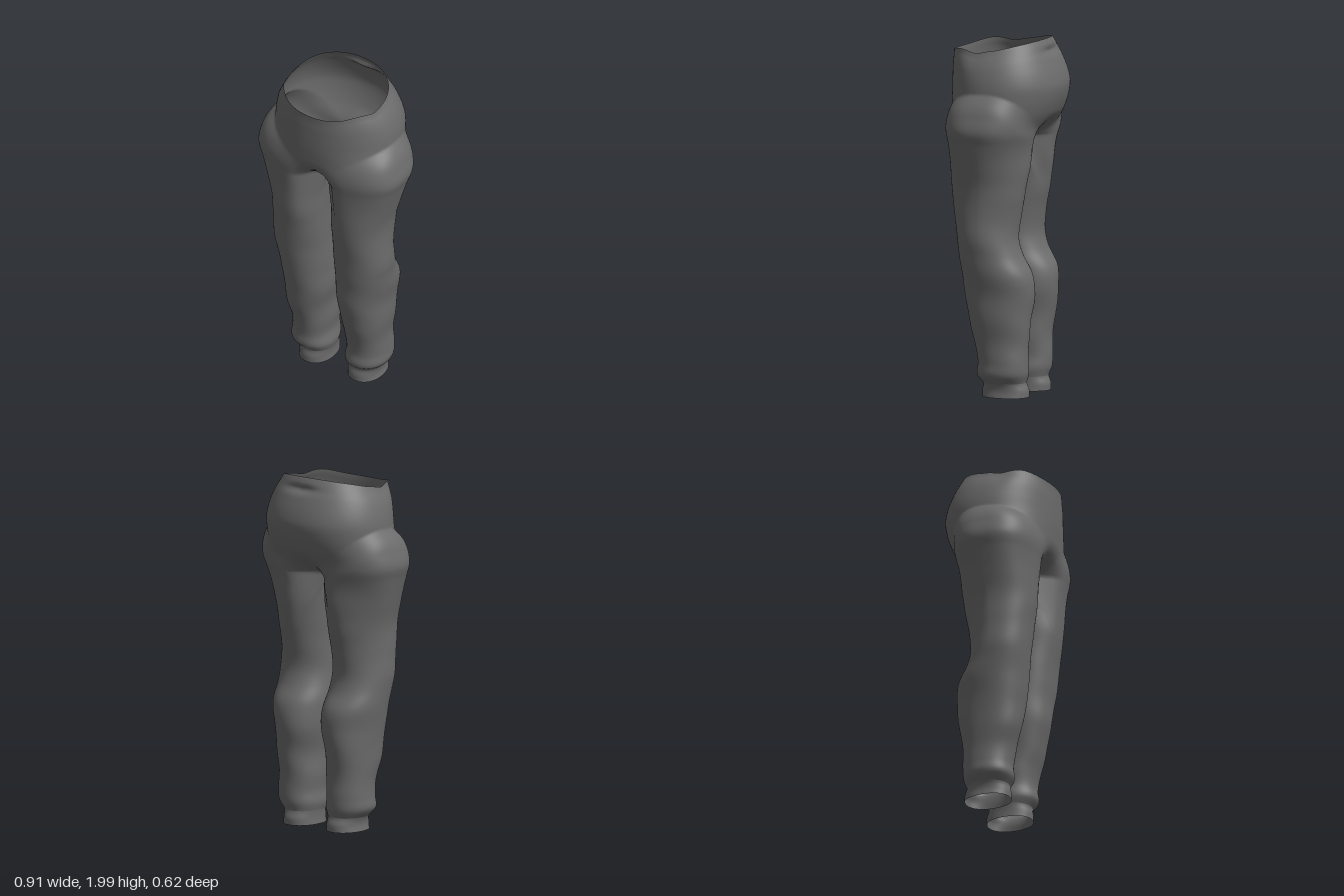
import * as THREE from 'three';
import { mergeVertices } from 'three/addons/utils/BufferGeometryUtils.js';

const { lerp, smoothstep, clamp } = THREE.MathUtils;
const CROTCH = 1.44, WAIST = 1.95, CUFF = 0.09;

// Smooth lookup through rows of [height, ...values]
function profile(rows) {
  const n = rows[0].length - 1;
  const curve = new THREE.CubicInterpolant(
    rows.map(r => r[0]), rows.flatMap(r => r.slice(1)), n, new Float32Array(n));
  return y => Array.from(curve.evaluate(y));
}

// Leg: height, inner x, outer x, front z, back z
const legProfile = profile([
  [0.01, 0.06, 0.26, 0.10, -0.165], [0.05, 0.062, 0.255, 0.10, -0.165],
  [0.09, 0.058, 0.265, 0.093, -0.15], [0.13, 0.047, 0.298, 0.12, -0.163],
  [0.20, 0.057, 0.30, 0.115, -0.167], [0.30, 0.05, 0.30, 0.13, -0.167],
  [0.42, 0.048, 0.315, 0.163, -0.178], [0.58, 0.022, 0.325, 0.193, -0.20],
  [0.70, 0.02, 0.345, 0.205, -0.19], [0.80, 0.025, 0.355, 0.217, -0.135],
  [0.88, 0.028, 0.365, 0.225, -0.112], [1.02, 0.026, 0.362, 0.243, -0.125],
  [1.18, 0.017, 0.37, 0.263, -0.16], [1.30, 0.007, 0.398, 0.276, -0.193],
  [1.43, 0.0, 0.432, 0.291, -0.207], [1.51, 0.0, 0.453, 0.301, -0.222],
  [1.60, 0.0, 0.435, 0.305, -0.24], [1.75, 0.0, 0.39, 0.308, -0.25]]);

// Pelvis: height, half width, front z, back z
const pelvisProfile = profile([
  [1.40, 0.36, 0.285, -0.20], [1.50, 0.37, 0.295, -0.222],
  [1.60, 0.372, 0.302, -0.275], [1.68, 0.37, 0.308, -0.303],
  [1.75, 0.366, 0.31, -0.312], [1.80, 0.357, 0.31, -0.30],
  [1.86, 0.338, 0.31, -0.268], [1.90, 0.318, 0.309, -0.243],
  [1.925, 0.302, 0.309, -0.23], [1.95, 0.29, 0.31, -0.217]]);

const power = (v, p) => Math.sign(v) * Math.abs(v) ** p;

// Half oval from the front centre (t = 1) round the side to the back centre (t = -1)
function halfOval(t, width, front, back, p) {
  const a = t * Math.PI / 2;
  return [width * power(Math.max(0, Math.cos(a)), p),
    (front + back) / 2 + (front - back) / 2 * power(Math.sin(a), p)];
}

// Pelvis surface, with thigh tops swelling out below an arched crease
function pelvisPoint(y, t) {
  const [pw, pf, pb] = pelvisProfile(y);
  const [, lw, lf, lb] = legProfile(Math.min(y, 1.75));
  const c = Math.max(0, Math.cos(t * Math.PI / 2));
  const crease = 1.45 + 0.265 * c ** (t > 0 ? 0.6 : 1.4);
  const depth = lerp(0.12, 0.22, Math.max(0, t));
  const swell = 1 - (1 - clamp((crease - y) / depth, 0, 1)) ** 3;
  const hipPower = t > 0 ? lerp(0.76, 0.92, smoothstep(y, 1.5, 1.75)) : 0.92;
  const thighPower = t > 0 ? 0.7 : lerp(1.05, 0.8, smoothstep(y, 1.25, 1.5));
  const hip = halfOval(t, pw, pf, pb, hipPower), thigh = halfOval(t, lw, lf, lb, thighPower);
  const x = lerp(hip[0], thigh[0], swell);
  let z = lerp(hip[1], thigh[1], swell);
  // The crotch seam curves in under the body
  const arch = (1 - clamp((y - CROTCH) / 0.17, 0, 1)) ** 2.5;
  z *= 1 - Math.exp(-((x / 0.085) ** 2)) * arch * (z < 0 ? 0.75 : 0.55);
  // Short pinched fold under the back of the waist
  if (z < 0) z += 0.022 * Math.exp(-((x / 0.1) ** 2) - ((y - 1.89) / 0.016) ** 2);
  // The rim dips at the front in a slight wave and rises at the back
  const rim = z > 0
    ? -0.05 * z + 0.012 * Math.sin((z - 0.14) * 25) * Math.min(1, z / 0.1)
    : -0.23 * z;
  return [x, y + rim * smoothstep(y, 1.75, WAIST), z];
}

// Leg surface: u 0..1 is the outer side, 1..2 the inner side
function legPoint(y, u, side) {
  const [xi, xo, zf, zb] = legProfile(y);
  const a = u <= 1 ? lerp(2, -2, u) * Math.PI / 3 : lerp(-2, -4, u - 1) * Math.PI / 3;
  const cos = Math.cos(a), sin = Math.sin(a);
  const k = smoothstep(y, 1.1, CROTCH);
  const ease = (1 - k) * smoothstep(y, 0.03, 0.16) * lerp(1.2, 0.5, smoothstep(y, 0.3, 0.9));
  const fold = 1 + ease * (0.010 * Math.sin(3 * a + 13 * y + side) +
    0.008 * Math.sin(2 * a - 27 * y + 2 * side));
  // The thigh is slimmer on its outer back quarter
  const p = cos > 0 && sin < 0 ? lerp(0.92, 1.15, smoothstep(y, 0.75, 1.0)) : 0.92;
  const x = (xi + xo) / 2 + (xo - xi) / 2 * power(cos, p) * fold;
  const z = (zf + zb) / 2 + (zf - zb) / 2 * power(sin, p) * fold;
  // Towards the crotch each leg turns into one half of the pelvis outline
  let top;
  if (u <= 1) top = pelvisPoint(y, 1 - 2 * u);
  else {
    const front = pelvisPoint(y, 1)[2], back = pelvisPoint(y, -1)[2];
    top = [xi, y, lerp(back, front, u - 1)];
  }
  return [lerp(x, Math.max(top[0], xi * (1 - k)), k), y, lerp(z, top[2], k)];
}

// Collects grids of points into one smooth welded surface
function surface(grids) {
  const positions = [], index = [];
  for (const { point, rows, cols, side } of grids) {
    const start = positions.length / 3;
    for (const y of rows) for (const u of cols) {
      const p = point(y, u, side);
      positions.push(p[0] * side, p[1], p[2]);
    }
    const w = cols.length;
    for (let i = 0; i < rows.length - 1; i++) for (let j = 0; j < w - 1; j++) {
      const a = start + i * w + j, b = a + 1, c = a + w, d = c + 1;
      if (side > 0) index.push(a, b, c, b, d, c);
      else index.push(a, c, b, b, c, d);
    }
  }
  let g = new THREE.BufferGeometry();
  g.setAttribute('position', new THREE.Float32BufferAttribute(positions, 3));
  g.setIndex(index);
  g = mergeVertices(g, 1e-5);
  g.computeVertexNormals();
  return g;
}

const steps = (from, to, n) =>
  Array.from({ length: n + 1 }, (_, i) => i === n ? to : from + (to - from) * i / n);

export function createModel() {
  const group = new THREE.Group();
  group.name = 'trousers';
  const fabric = new THREE.MeshStandardMaterial({ color: 0x6b6b6b, side: THREE.DoubleSide });
  fabric.name = 'grey fabric';

  const add = (name, grids) => {
    const mesh = new THREE.Mesh(surface(grids), fabric);
    mesh.name = name;
    group.add(mesh);
  };

  const outer = steps(0, 1, 48);
  const around = [...outer, ...steps(1, 2, 20).slice(1)];
  const pelvis = (y, u) => pelvisPoint(y, 1 - 2 * u);

  // Seat and both legs as one continuous cloth, open at the waist
  add('seatAndLegs', [1, -1].flatMap(side => [
    { point: pelvis, rows: steps(CROTCH, WAIST, 60), cols: outer, side },
    { point: legPoint, rows: steps(CUFF, CROTCH, 80), cols: around, side }]));

  // Ankle cuffs, open at the bottom
  for (const side of [1, -1])
    add(side > 0 ? 'leftCuff' : 'rightCuff',
      [{ point: legPoint, rows: steps(0.01, CUFF, 8), cols: around, side }]);

  // Stand on the ground
  group.children.forEach(m => m.geometry.translate(0, -0.005, 0));
  return group;
}
